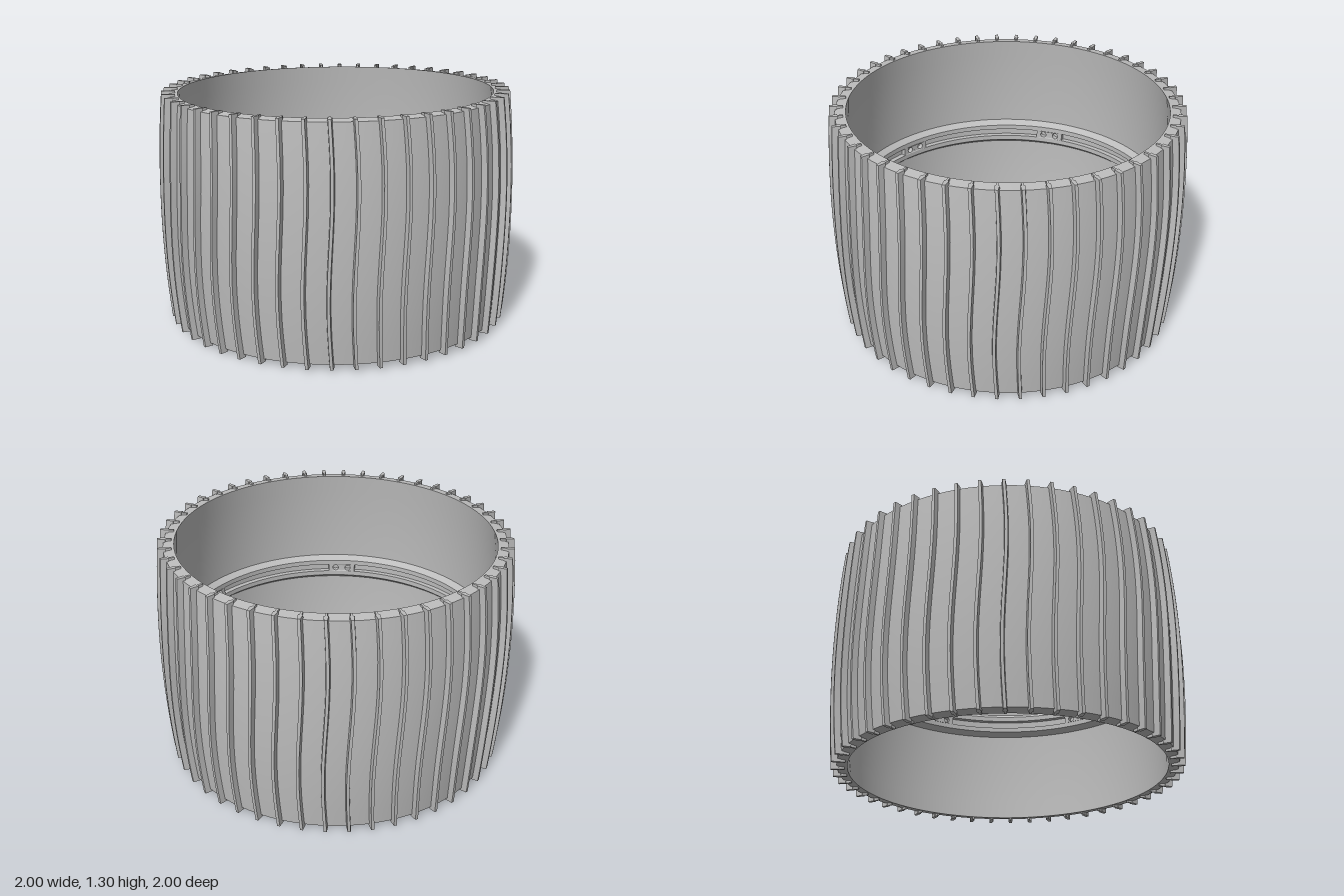
import * as THREE from 'three';
import { toCreasedNormals } from 'three/addons/utils/BufferGeometryUtils.js';

const HALF = 0.64;    // half height of the band
const RIM = 0.622;    // height of the wall's outer edge from the middle
const RIBS = 48;
const SLOTS = 6;
const GROOVE = 0.023; // half height of the slots in the mounting ring

// barrel-shaped outer radius and inner radius at a height measured from the middle
const outerR = (y) => 0.968 - 0.033 * (y / HALF) ** 2;
const innerR = (y) => 0.91 - 0.033 * (y / HALF) ** 2;

const crease = (geo) => toCreasedNormals(geo, 0.5);

function ringGeometry(points) {
  return crease(new THREE.LatheGeometry(points.map(([r, y]) => new THREE.Vector2(r, y)), 96));
}

// wall: outside going up, over the rim, inside going down, and closed under the lower rim
function wallGeometry() {
  const pts = [];
  const n = 12;
  for (let i = 0; i <= n; i++) {
    const y = RIM * ((2 * i) / n - 1);
    pts.push([outerR(y), y]);
  }
  for (let i = 0; i <= n; i++) {
    const y = (RIM + 0.008) * (1 - (2 * i) / n);
    pts.push([innerR(y), y]);
  }
  pts.push(pts[0]);
  return ringGeometry(pts);
}

// thin tread rib: tapered, bowed with the wall and bent in a gentle S
function ribGeometry() {
  const geo = new THREE.BoxGeometry(1, 2 * HALF, 1, 1, 16, 1);
  const p = geo.attributes.position;
  for (let i = 0; i < p.count; i++) {
    const y = p.getY(i);
    const outside = p.getZ(i) > 0;
    const width = outside ? 0.016 : 0.025;
    const wave = 0.012 * Math.sin((Math.PI * y) / HALF);
    p.setXYZ(i, p.getX(i) * width + wave, y, outerR(y) + (outside ? 0.032 : -0.012));
  }
  return crease(geo);
}

// block between two slots, pierced by a pair of holes and bent to the ring
function bridgeGeometry() {
  const R = 0.875, w = 0.083, h = GROOVE;
  const shape = new THREE.Shape();
  shape.moveTo(-w, -h).lineTo(w, -h).lineTo(w, h).lineTo(-w, h).closePath();
  for (const x of [-0.039, 0.039]) {
    shape.holes.push(new THREE.Path().absarc(x, 0, 0.018, 0, Math.PI * 2, true));
  }
  const geo = new THREE.ExtrudeGeometry(shape, { depth: 0.03, bevelEnabled: false, curveSegments: 8 });
  const p = geo.attributes.position;
  for (let i = 0; i < p.count; i++) {
    const a = p.getX(i) / R;
    const r = R + 0.03 - p.getZ(i);
    // z faces the axis, so the block sits on the far side of the ring
    p.setXYZ(i, r * Math.sin(a), p.getY(i), -r * Math.cos(a));
  }
  geo.computeVertexNormals();
  return geo;
}

export function createModel() {
  const grey = new THREE.MeshStandardMaterial({ color: 0xbcbcbc });
  grey.name = 'grey';
  const model = new THREE.Group();
  model.name = 'ribbedBand';
  const body = new THREE.Group();
  body.name = 'bandBody';
  body.position.y = 0.65;
  body.rotation.set(-0.005, 0, 0.0075); // the band leans very slightly
  model.add(body);

  const add = (name, geo, parent = body) => {
    const mesh = new THREE.Mesh(geo, grey);
    mesh.name = name;
    parent.add(mesh);
    return mesh;
  };

  add('wall', wallGeometry());

  // inner mounting ring with sloped shoulders and a groove, running round the inside
  add('mountingRing', ringGeometry([
    [0.915, 0.082], [0.875, 0.052], [0.875, GROOVE], [0.906, GROOVE],
    [0.906, -GROOVE], [0.875, -GROOVE], [0.875, -0.052], [0.915, -0.082],
  ]));

  // bridges split the groove into six slots
  const bridge = bridgeGeometry();
  for (let i = 0; i < SLOTS; i++) {
    add('slotBridge', bridge).rotation.y = Math.PI + THREE.MathUtils.degToRad(8 + (360 / SLOTS) * i);
  }

  // ribs round the outside, each running over both rims
  const rib = ribGeometry();
  const rimRib = new THREE.BoxGeometry(0.012, 0.03, 0.065);
  for (let i = 0; i < RIBS; i++) {
    const group = new THREE.Group();
    group.name = 'rib';
    group.rotation.y = (i / RIBS) * Math.PI * 2 + 0.005;
    add('treadRib', rib, group);
    for (const s of [-1, 1]) add('rimRib', rimRib, group).position.set(0, s * (HALF - 0.016), 0.925);
    body.add(group);
  }
  return model;
}
